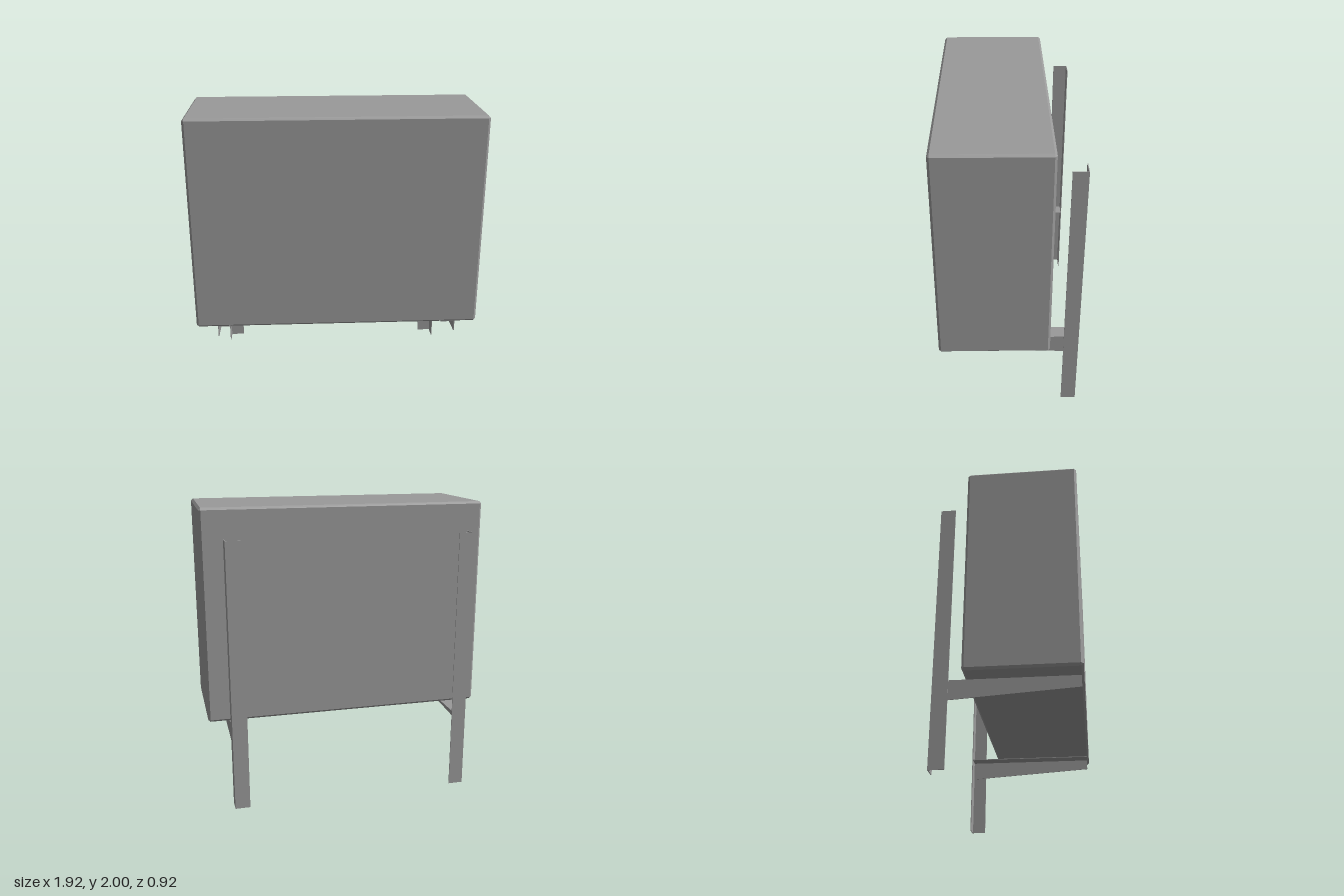
import * as THREE from 'three';
import { ConvexGeometry } from 'three/addons/geometries/ConvexGeometry.js';

const material = new THREE.MeshStandardMaterial({ color: 0x9a9a9a, flatShading: true });
const T = 0.005; // sheet thickness

// Box with every edge chamfered, as the hull of its 24 corners
function chamferedBox(w, h, d, c) {
  const points = [];
  for (const sx of [-1, 1]) for (const sy of [-1, 1]) for (const sz of [-1, 1]) {
    for (let flat = 0; flat < 3; flat++) {
      const inset = [0, 1, 2].map((axis) => (axis === flat ? 0 : c));
      points.push(new THREE.Vector3(
        sx * (w / 2 - inset[0]), sy * (h / 2 - inset[1]), sz * (d / 2 - inset[2])));
    }
  }
  return new ConvexGeometry(points);
}

function addMesh(parent, name, geometry) {
  const mesh = new THREE.Mesh(geometry, material);
  mesh.name = name;
  parent.add(mesh);
  return mesh;
}

// Box given by its minimum and maximum corners
function addPlate(parent, name, [x0, y0, z0], [x1, y1, z1]) {
  const mesh = addMesh(parent, name, new THREE.BoxGeometry(x1 - x0, y1 - y0, z1 - z0));
  mesh.position.set((x0 + x1) / 2, (y0 + y1) / 2, (z0 + z1) / 2);
}

// One angle-section post with its tapered shelf arm; side is +1 or -1
function createBracket(side) {
  const bracket = new THREE.Group();
  bracket.name = side > 0 ? 'leftBracket' : 'rightBracket';
  const inner = 0.722, outer = 0.823, back = -0.459;
  const span = (a, b) => [Math.min(side * a, side * b), Math.max(side * a, side * b)];

  // Upright post: back flange and outer flange
  const [fx0, fx1] = span(inner, outer);
  const [sx0, sx1] = span(outer - T, outer);
  addPlate(bracket, 'postBackFlange', [fx0, 0, back], [fx1, 1.815, back + T]);
  addPlate(bracket, 'postSideFlange', [sx0, 0, back + T], [sx1, 1.815, -0.36]);

  // Shelf arm: flat top flange over a tapered web
  const [tx0, tx1] = span(inner, outer - T);
  addPlate(bracket, 'armTopFlange', [tx0, 0.556, back + T], [tx1, 0.561, 0.445]);

  const profile = new THREE.Shape([
    new THREE.Vector2(-0.445, 0.561),
    new THREE.Vector2(-0.445, 0.485),
    new THREE.Vector2(-(back + T), 0.426),
    new THREE.Vector2(-(back + T), 0.561),
  ]);
  const web = new THREE.ExtrudeGeometry(profile, { depth: T, bevelEnabled: false });
  web.rotateY(Math.PI / 2);
  const [wx0] = span(outer - 2 * T, outer - T);
  addMesh(bracket, 'armWeb', web).position.x = wx0;
  return bracket;
}

export function createModel() {
  const model = new THREE.Group();
  model.name = 'wallMountedUnit';

  // Housing
  addMesh(model, 'housing', chamferedBox(1.923, 1.439, 0.719, 0.015))
    .position.set(0, 1.2805, 0.1);

  // Mounting brackets
  for (const side of [1, -1]) model.add(createBracket(side));
  return model;
}
